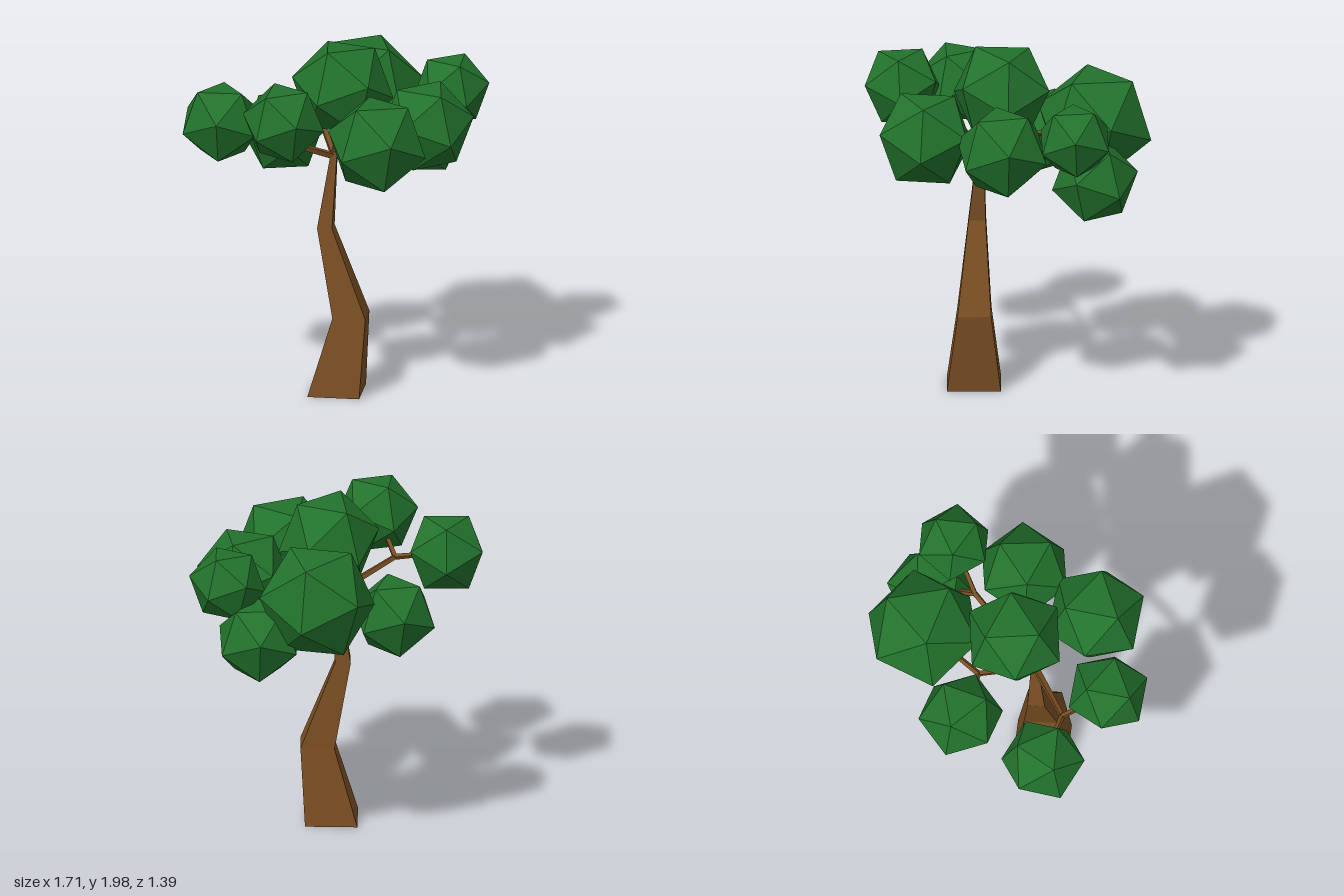
import * as THREE from 'three';

const bark = new THREE.MeshStandardMaterial({ name: 'bark brown', color: 0x7a4f23, flatShading: true });
const leaf = new THREE.MeshStandardMaterial({ name: 'leaf green', color: 0x22722c, flatShading: true });
const V = (a) => new THREE.Vector3(...a);

// Right-handed frame whose first axis is a and whose second lies towards b
function frame(a, b) {
  const x = a.clone().normalize();
  const z = new THREE.Vector3().crossVectors(x, b).normalize();
  const y = new THREE.Vector3().crossVectors(z, x);
  return new THREE.Matrix4().makeBasis(x, y, z);
}

// Icosahedron turned so that two neighbouring corners point along a and b
function foliage(name, centre, radius, a, b) {
  const t = (1 + Math.sqrt(5)) / 2;
  const rest = frame(V([-1, t, 0]), V([1, t, 0])).transpose();
  const geometry = new THREE.IcosahedronGeometry(radius, 0);
  geometry.applyMatrix4(frame(V(a), V(b)).multiply(rest));
  geometry.computeVertexNormals();
  const mesh = new THREE.Mesh(geometry, leaf);
  mesh.position.set(...centre);
  mesh.name = name;
  return mesh;
}

// Four-sided trunk lofted through rings of corners (front, right, back, left)
function trunk(rings) {
  const positions = [];
  const indices = [];
  rings.forEach(([y, corners]) => corners.forEach(([x, z]) => positions.push(x, y, z)));
  for (let r = 0; r < rings.length - 1; r++) {
    for (let i = 0; i < 4; i++) {
      const a = r * 4 + i, b = r * 4 + (i + 1) % 4;
      indices.push(a, b, b + 4, a, b + 4, a + 4);
    }
  }
  const top = (rings.length - 1) * 4;
  indices.push(0, 2, 1, 0, 3, 2, top, top + 1, top + 2, top, top + 2, top + 3);
  const geometry = new THREE.BufferGeometry();
  geometry.setAttribute('position', new THREE.Float32BufferAttribute(positions, 3));
  geometry.setIndex(indices);
  const flat = geometry.toNonIndexed();
  flat.computeVertexNormals();
  const mesh = new THREE.Mesh(flat, bark);
  mesh.name = 'trunk';
  return mesh;
}

// Tapered stick between two points
function stick(name, from, to, r0, r1) {
  const a = V(from), b = V(to);
  const dir = b.clone().sub(a);
  const mesh = new THREE.Mesh(new THREE.CylinderGeometry(r1, r0, dir.length(), 4), bark);
  mesh.position.copy(a).add(b).multiplyScalar(0.5);
  mesh.quaternion.setFromUnitVectors(new THREE.Vector3(0, 1, 0), dir.normalize());
  mesh.name = name;
  return mesh;
}

export function createModel() {
  const tree = new THREE.Group();
  tree.name = 'tree';

  tree.add(trunk([
    [0, [[-0.225, 0.27], [0.04, 0.12], [-0.1, -0.14], [-0.365, 0.01]]],
    [0.45, [[-0.16, 0.265], [0.005, 0.17], [-0.085, 0], [-0.25, 0.1]]],
    [0.96, [[-0.2, 0.06], [-0.115, 0.015], [-0.155, -0.065], [-0.24, -0.015]]],
    [1.4, [[-0.145, 0.055], [-0.112, 0.035], [-0.13, 0.005], [-0.163, 0.025]]],
  ]));

  // Centre, radius and two corner directions of each foliage clump
  const clumps = {
    leftCrown: [[0.625, 1.335, 0.085], 0.248, [0.22, -0.045, 0.11], [0.135, 0.195, 0.07]],
    leftFrontCrown: [[0.61, 1.63, 0.295], 0.22, [0.215, -0.03, 0], [0.125, 0.18, 0]],
    leftBackCrown: [[0.465, 1.575, -0.207], 0.34, [0.21, 0.25, -0.05], [-0.11, 0.29, -0.15]],
    backCrown: [[0.03, 1.39, -0.455], 0.245, [-0.06, -0.05, -0.23], [-0.035, 0.195, -0.145]],
    rightBackCrown: [[-0.545, 1.58, -0.463], 0.24, [0, -0.045, 0.235], [0, 0.19, 0.145]],
    rightCrown: [[-0.635, 1.69, 0.045], 0.237, [-0.226, -0.06, -0.02], [-0.165, 0.165, -0.01]],
    rightFrontCrown: [[-0.275, 1.545, 0.433], 0.29, [-0.28, -0.045, -0.035], [-0.17, 0.23, -0.02]],
    frontCrown: [[0.21, 1.535, 0.42], 0.272, [0.26, -0.04, -0.035], [0.16, 0.21, -0.02]],
    topCrown: [[-0.02, 1.74, 0], 0.292, [-0.29, -0.035, 0.035], [-0.165, 0.26, 0.015]],
  };
  for (const [name, args] of Object.entries(clumps)) tree.add(foliage(name, ...args));

  // Each branch runs to a fork, then twigs run on into the clumps
  const root = [-0.137, 1.37, 0.03];
  const branches = [
    [[-0.47, 1.52, -0.17], ['rightBackCrown', 'rightCrown']],
    [[0.37, 1.46, 0.165], ['leftCrown', 'leftFrontCrown']],
    [[0.08, 1.44, -0.21], ['backCrown', 'leftBackCrown']],
    [[-0.05, 1.43, 0.25], ['rightFrontCrown', 'frontCrown']],
    [[-0.09, 1.52, 0.02], ['topCrown']],
  ];
  for (const [fork, ends] of branches) {
    tree.add(stick('branch', root, fork, 0.022, 0.017));
    for (const end of ends) tree.add(stick('twig', fork, clumps[end][0], 0.017, 0.012));
  }
  return tree;
}
